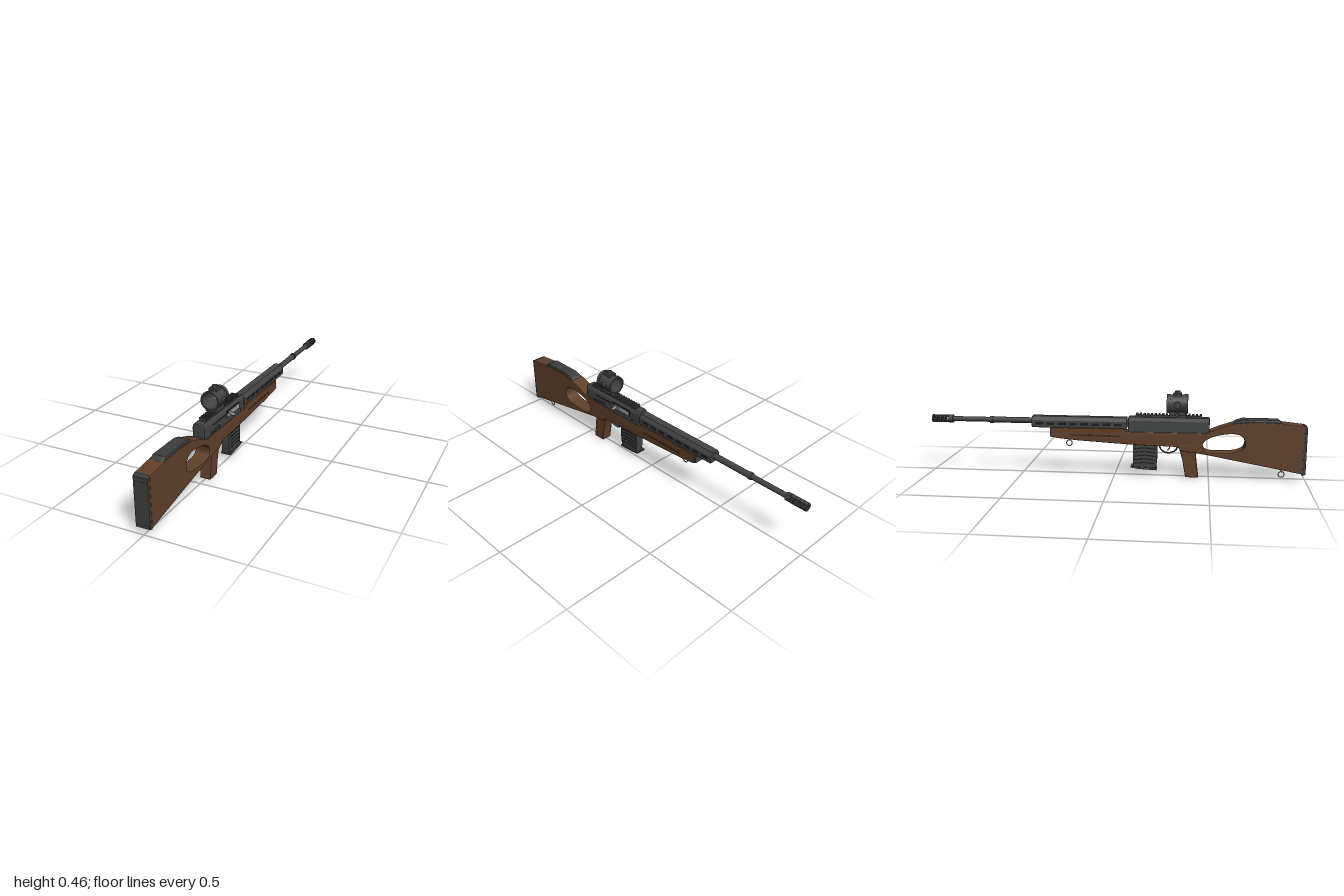
import * as THREE from 'three';

const mat = (name, color, side = THREE.FrontSide) => {
  const m = new THREE.MeshStandardMaterial({ color, side });
  m.name = name;
  return m;
};

export function createModel() {
  const wood = mat('walnut wood', 0x61402a);
  const groove = mat('dark wood groove', 0x3c2718);
  const metal = mat('gunmetal', 0x434445);
  const rubber = mat('black rubber', 0x3c3d3e);
  const black = mat('slot black', 0x1d1d1e);
  const steel = mat('bright steel', 0x9c9b98);

  const root = new THREE.Group();
  root.name = 'rifle';
  const body = new THREE.Group();
  body.name = 'rifleBody';
  body.position.x = -0.002;
  root.add(body);

  const add = (name, geo, material, x = 0, y = 0, z = 0) => {
    const m = new THREE.Mesh(geo, material);
    m.name = name;
    m.position.set(x, y, z);
    body.add(m);
    return m;
  };
  const box = (name, material, w, h, d, x, y, z) => add(name, new THREE.BoxGeometry(w, h, d), material, x, y, z);
  const poly = pts => new THREE.Shape(pts.map(p => new THREE.Vector2(...p)));
  const bevelled = (depth, b) => ({
    depth: depth - 2 * b, bevelEnabled: b > 0, bevelThickness: b, bevelSize: b, bevelOffset: -b, bevelSegments: 2, curveSegments: 10,
  });
  // Side profile in (z, y), extruded evenly across x
  const across = (shape, half, b = 0.004) => {
    const g = new THREE.ExtrudeGeometry(shape, bevelled(half * 2, b));
    g.translate(0, 0, b - half);
    return g.rotateY(-Math.PI / 2);
  };
  // Cross-section in (x, y), extruded from z0 to z1
  const along = (shape, z0, z1, b = 0.004) => {
    const g = new THREE.ExtrudeGeometry(shape, bevelled(z1 - z0, b));
    return g.translate(0, 0, z0 + b);
  };
  // Cylinder along an axis
  const rod = (name, material, r0, r1, len, axis, x, y, z, sides = 20) => {
    const g = new THREE.CylinderGeometry(r1, r0, len, sides);
    if (axis === 'z') g.rotateX(Math.PI / 2);
    if (axis === 'x') g.rotateZ(-Math.PI / 2);
    return add(name, g, material, x, y, z);
  };
  // Hollow ring along z
  const tube = (name, material, rOut, rIn, z0, z1, y, sides = 32) => {
    const s = new THREE.Shape().absarc(0, 0, rOut, 0, Math.PI * 2);
    s.holes.push(new THREE.Path().absarc(0, 0, rIn, 0, Math.PI * 2, true));
    const g = new THREE.ExtrudeGeometry(s, { depth: z1 - z0, bevelEnabled: false, curveSegments: sides });
    return add(name, g, material, 0, y, z0);
  };

  // Thumbhole stock and forend, slightly slimmer towards the front
  const stock = poly([
    [0.985, 0.036], [0.985, 0.29], [0.87, 0.302], [0.74, 0.307], [0.62, 0.295], [0.55, 0.272], [0.48, 0.242],
    [0.06, 0.24], [0.05, 0.256], [-0.338, 0.253], [-0.338, 0.203], [-0.3, 0.197], [-0.2, 0.188], [0.08, 0.172],
    [0.335, 0.166], [0.36, 0.14], [0.43, 0.137], [0.6, 0.106], [0.8, 0.07],
  ]);
  const hole = new THREE.Path();
  hole.moveTo(0.685, 0.19);
  hole.bezierCurveTo(0.685, 0.25, 0.62, 0.245, 0.575, 0.238);
  hole.bezierCurveTo(0.52, 0.228, 0.465, 0.21, 0.465, 0.175);
  hole.bezierCurveTo(0.465, 0.135, 0.5, 0.137, 0.55, 0.137);
  hole.bezierCurveTo(0.62, 0.138, 0.685, 0.142, 0.685, 0.19);
  stock.holes.push(hole);
  const stockGeo = across(stock, 0.04);
  const p = stockGeo.attributes.position;
  for (let i = 0; i < p.count; i++) if (p.getZ(i) < 0.3) p.setX(i, p.getX(i) * 0.93);
  stockGeo.computeVertexNormals();
  add('stock', stockGeo, wood);
  add('pistolGrip', across(poly([
    [0.35, 0.2], [0.345, 0.15], [0.362, 0.09], [0.378, 0], [0.446, 0], [0.437, 0.07], [0.43, 0.13], [0.45, 0.16], [0.45, 0.2],
  ]), 0.03), wood);
  box('forendCap', metal, 0.062, 0.046, 0.01, 0, 0.228, -0.341);
  for (const s of [-1, 1]) box('forendGroove', groove, 0.004, 0.009, 0.27, s * 0.0365, 0.216, -0.1);

  // Butt pad and cheek rest
  add('buttPad', across(poly([[0.982, 0.028], [1, 0.034], [1, 0.284], [0.982, 0.293]]), 0.038, 0.003), rubber);
  for (const y of [0.052, 0.262]) box('buttPadLine', black, 0.07, 0.002, 0.002, 0, y, 0.9992);
  add('cheekRest', across(poly([
    [0.875, 0.28], [0.872, 0.302], [0.85, 0.318], [0.67, 0.318], [0.635, 0.308], [0.612, 0.285], [0.612, 0.28],
  ]), 0.034, 0.008), rubber);

  // Receiver
  add('receiver', along(poly([
    [-0.034, 0.232], [0.034, 0.232], [0.034, 0.3], [0.03, 0.312], [0.022, 0.318], [-0.022, 0.318], [-0.03, 0.312], [-0.034, 0.3],
  ]), 0.072, 0.5, 0.007), metal);
  box('ejectionPort', black, 0.004, 0.036, 0.14, 0.034, 0.284, 0.205);
  box('bolt', steel, 0.006, 0.024, 0.115, 0.035, 0.284, 0.2);
  rod('boltHandle', steel, 0.007, 0.008, 0.032, 'x', 0.051, 0.281, 0.245, 16);
  box('boltHandleRoot', steel, 0.008, 0.016, 0.05, 0.037, 0.279, 0.25);
  box('receiverSlot', black, 0.003, 0.005, 0.12, 0.034, 0.287, 0.35);
  box('safetyLever', metal, 0.008, 0.008, 0.06, 0.036, 0.258, 0.385).rotation.x = 0.15;
  for (const z of [0.43, 0.35, 0.12]) rod('receiverPin', black, 0.006, 0.006, 0.004, 'x', 0.034, 0.253, z, 12);

  // Top rail
  box('railBase', metal, 0.03, 0.012, 0.35, 0, 0.321, 0.285);
  for (let i = 0; i < 18; i++) box('railTooth', metal, 0.038, 0.009, 0.011, 0, 0.33, 0.118 + i * 0.0197);

  // Handguard with side slots
  add('handguard', along(poly([
    [-0.03, 0.253], [0.03, 0.253], [0.032, 0.26], [0.032, 0.292], [0.019, 0.312], [-0.019, 0.312], [-0.032, 0.292], [-0.032, 0.26],
  ]), -0.445, 0.066, 0.003), metal);
  for (let i = 0; i < 8; i++)
    for (const s of [-1, 1]) box('handguardSlot', black, 0.003, 0.013, 0.04, s * 0.032, 0.275, 0.018 - i * 0.06);

  // Barrel and muzzle brake
  const by = 0.284;
  rod('barrelRear', metal, 0.016, 0.016, 0.24, 'z', 0, by, -0.555);
  rod('barrelBand', metal, 0.019, 0.019, 0.018, 'z', 0, by, -0.67);
  rod('barrelFront', metal, 0.0135, 0.0135, 0.22, 'z', 0, by, -0.78);
  tube('brakeCollar', metal, 0.021, 0.009, -0.908, -0.884, by, 16);
  for (let i = 0; i < 4; i++) tube('brakeRing', metal, 0.021, 0.009, -0.934 - i * 0.022, -0.926 - i * 0.022, by, 16);
  for (const s of [-1, 1]) box('brakeBridge', metal, 0.022, 0.009, 0.1, 0, by + s * 0.0145, -0.946);

  // Magazine
  add('magazine', across(poly([[0.228, 0.2], [0.1, 0.2], [0.098, 0.1], [0.1, 0.045], [0.222, 0.042], [0.228, 0.1]]), 0.022, 0.003), metal);
  for (let i = 0; i < 5; i++)
    for (const s of [-1, 1])
      for (const [z, tilt] of [[0.19, 0.12], [0.133, -0.12]])
        box('magazineRib', black, 0.003, 0.005, 0.056, s * 0.022, 0.15 - i * 0.02, z).rotation.x = tilt;
  add('magazineFloor', across(poly([[0.225, 0.033], [0.225, 0.038], [0.195, 0.046], [0.12, 0.05], [0.088, 0.052], [0.088, 0.044], [0.13, 0.038]]), 0.028, 0.001), metal);

  // Trigger and guard
  const guard = new THREE.CatmullRomCurve3([
    [0.335, 0.17], [0.328, 0.145], [0.305, 0.128], [0.27, 0.127], [0.247, 0.142], [0.235, 0.172],
  ].map(([z, y]) => new THREE.Vector3(0, y, z)));
  const guardMesh = add('triggerGuard', new THREE.TubeGeometry(guard, 24, 0.004, 8), metal);
  guardMesh.scale.x = 2.2;
  const trig = new THREE.QuadraticBezierCurve3(
    new THREE.Vector3(0, 0.172, 0.288), new THREE.Vector3(0, 0.15, 0.3), new THREE.Vector3(0, 0.138, 0.28));
  add('trigger', new THREE.TubeGeometry(trig, 10, 0.0035, 8), steel);

  // Sling loops
  for (const [y, z] of [[0.024, 0.88], [0.165, -0.247]]) {
    add('slingLoop', new THREE.TorusGeometry(0.0155, 0.0028, 8, 24).rotateY(Math.PI / 2), steel, 0, y, z);
    rod('slingStud', steel, 0.004, 0.004, 0.018, 'y', 0, y + 0.021, z, 10);
  }

  // Sight: mount, tube and turrets
  const sy = 0.391, sz = 0.33;
  box('sightClamp', metal, 0.04, 0.014, 0.08, 0, 0.327, sz);
  box('sightMount', metal, 0.058, 0.02, 0.085, 0, 0.341, sz);
  rod('clampKnob', metal, 0.011, 0.011, 0.016, 'x', -0.035, 0.338, sz, 12);
  tube('sightTube', metal, 0.047, 0.041, sz - 0.054, sz + 0.054, sy, 24);
  for (const s of [-1, 1]) tube('sightRim', metal, 0.05, 0.041, sz + s * 0.046 - 0.009, sz + s * 0.046 + 0.009, sy, 24);
  box('topTurretBase', metal, 0.046, 0.012, 0.046, 0, 0.44, sz);
  rod('topTurret', metal, 0.014, 0.013, 0.014, 'y', 0, 0.452, sz, 16);
  rod('rightTurret', metal, 0.017, 0.017, 0.016, 'x', -0.053, sy, sz, 16);
  rod('leftTurret', metal, 0.014, 0.013, 0.014, 'x', 0.052, sy, sz, 16);
  rod('turretScrew', black, 0.006, 0.006, 0.003, 'x', 0.0585, sy, sz, 12);

  // Reticle
  box('reticlePost', black, 0.0012, 0.036, 0.0012, 0, 0.368, sz);
  for (const s of [-1, 1]) box('reticleBar', black, 0.014, 0.0012, 0.0012, s * 0.035, sy, sz);
  return root;
}
